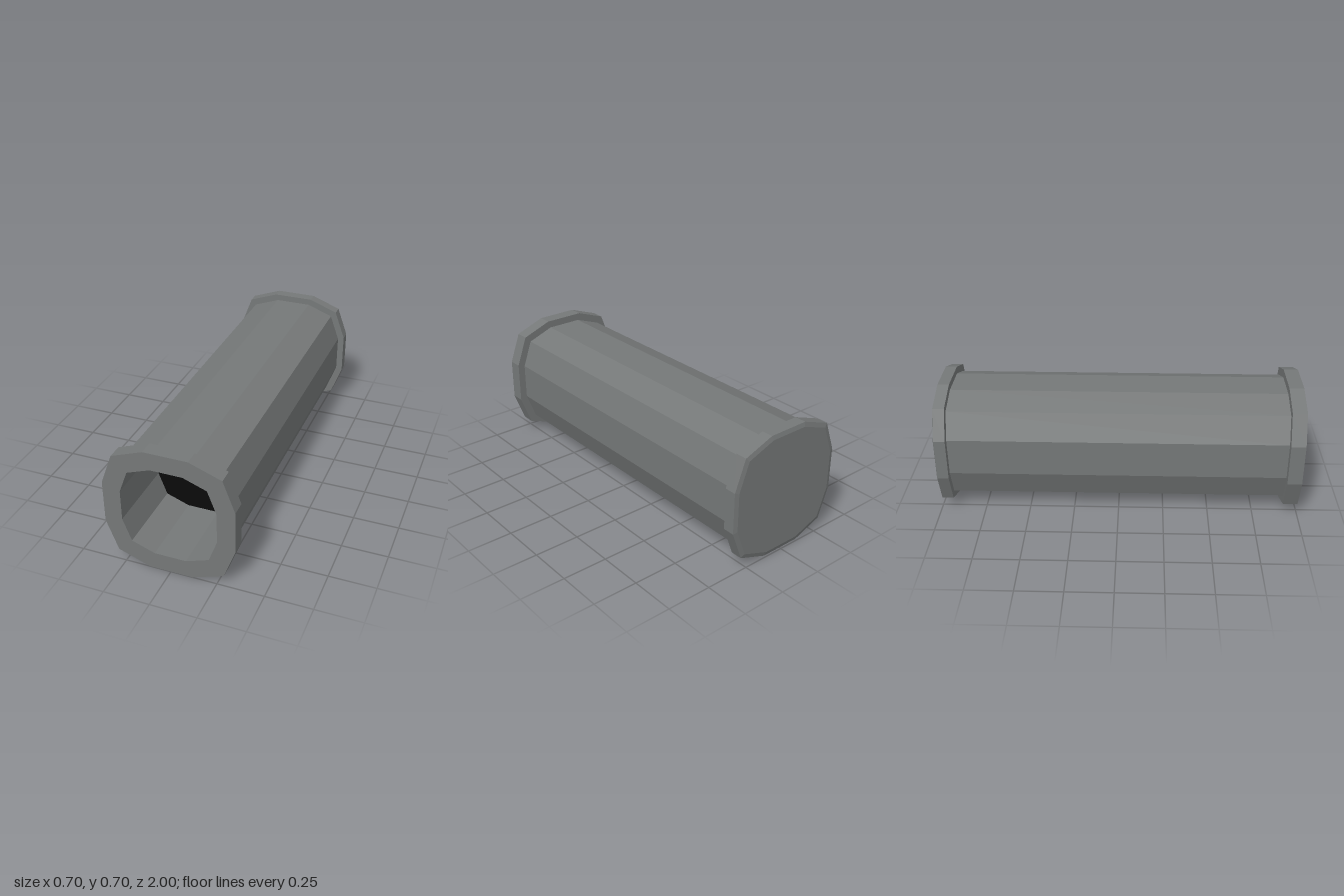
import * as THREE from 'three';

// One quarter of the rounded-square outline, turned four times to make 12 corners
const quarter = [[0.35, -0.117], [0.35, 0.117], [0.287, 0.287]];
const outline = [];
for (let q = 0; q < 4; q++) {
  const c = [1, 0, -1, 0][q], s = [0, 1, 0, -1][q];
  for (const [x, y] of quarter) outline.push([x * c - y * s, x * s + y * c]);
}
const CENTER_Y = 0.352;

// Skin a list of [scale, z] sections; a scale of 0 closes the end.
// Outer walls run from back to front, so their faces point outward.
function loft(sections) {
  const pos = [];
  const point = ([scale, z], i) => {
    const [x, y] = outline[i % outline.length];
    return [x * scale, CENTER_Y + y * scale, z];
  };
  for (let k = 0; k + 1 < sections.length; k++) {
    const from = sections[k], to = sections[k + 1];
    for (let i = 0; i < outline.length; i++) {
      const a = point(from, i), b = point(from, i + 1);
      const c = point(to, i + 1), d = point(to, i);
      if (from[0] > 0) pos.push(...a, ...b, ...c);
      if (to[0] > 0) pos.push(...a, ...c, ...d);
    }
  }
  const geometry = new THREE.BufferGeometry();
  geometry.setAttribute('position', new THREE.Float32BufferAttribute(pos, 3));
  geometry.computeVertexNormals();
  return geometry;
}

export function createModel() {
  const group = new THREE.Group();
  group.name = 'tube';
  const grey = new THREE.MeshStandardMaterial({ color: 0x757878, flatShading: true });
  grey.name = 'grey metal';
  const black = new THREE.MeshStandardMaterial({ color: 0x0a0a0a, flatShading: true });
  black.name = 'black interior';

  const add = (name, sections, material) => {
    const mesh = new THREE.Mesh(loft(sections), material);
    mesh.name = name;
    group.add(mesh);
  };

  // Long body between the two rims
  add('body', [[0.88, -0.93], [0.88, 0.92]], grey);
  // Front rim: shoulder, outer edge and flat face around the opening
  add('frontRim', [[0.88, 0.92], [1, 0.92], [1, 1], [0.727, 1]], grey);
  // Inner wall of the opening
  add('innerWall', [[0.727, 1], [0.727, 0.58]], grey);
  // Dark plate closing the bore
  add('borePlate', [[0.727, 0.58], [0, 0.58]], black);
  // Back rim with its closed, slightly raised end
  add('backRim', [[0, -1], [0.92, -1], [0.985, -0.993], [0.985, -0.93], [0.88, -0.93]], grey);

  return group;
}
